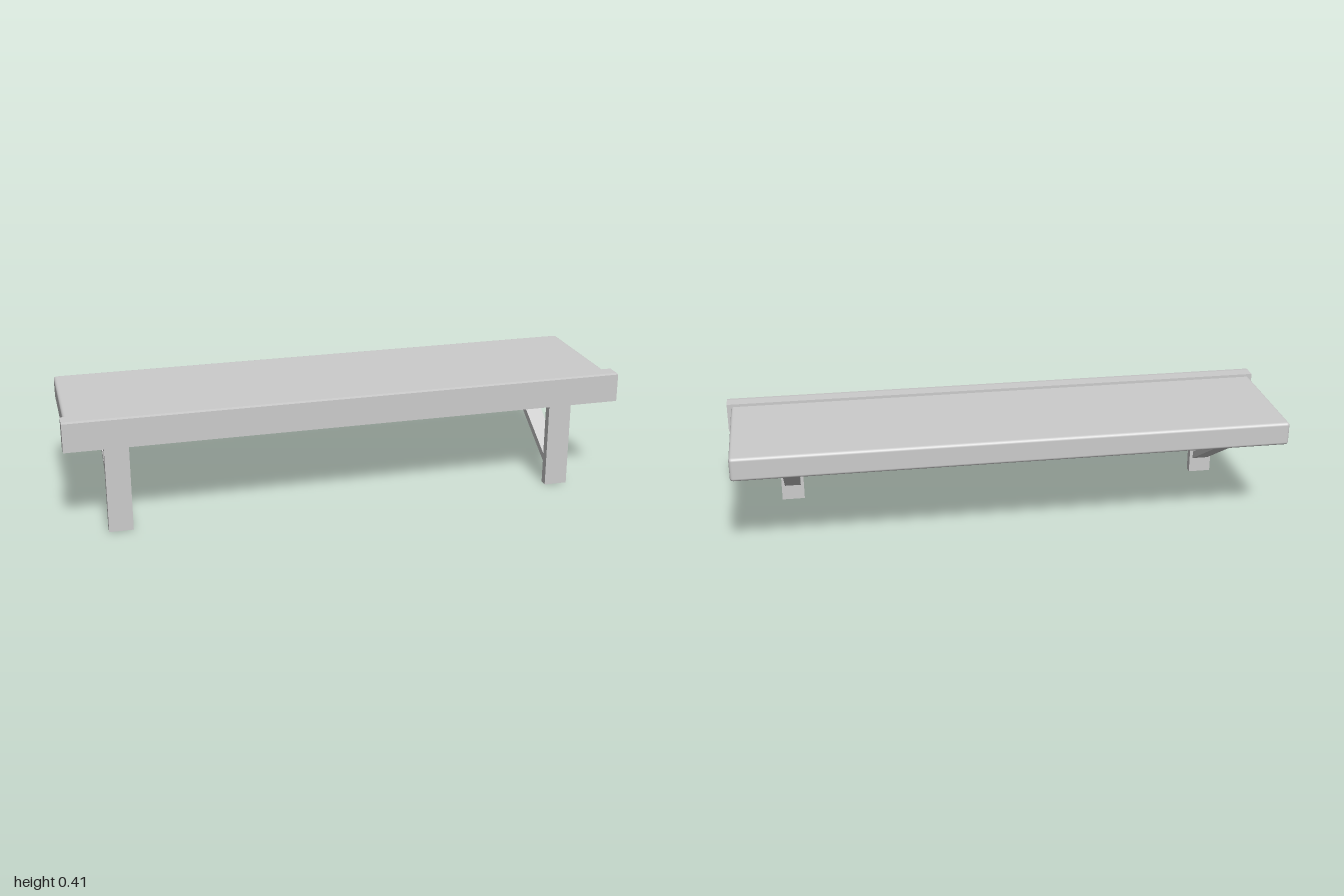
import * as THREE from 'three';
import { RoundedBoxGeometry } from 'three/addons/geometries/RoundedBoxGeometry.js';

const material = new THREE.MeshStandardMaterial({ color: 0xcccccc });

function part(name, geometry, x = 0, y = 0, z = 0) {
  const mesh = new THREE.Mesh(geometry, material);
  mesh.name = name;
  mesh.position.set(x, y, z);
  return mesh;
}

// Extrudes a [z, y] side profile along x, centred on x = 0
function sideProfile(points, width) {
  const shape = new THREE.Shape(points.map(([z, y]) => new THREE.Vector2(-z, y)));
  const geometry = new THREE.ExtrudeGeometry(shape, { depth: width, bevelEnabled: false });
  geometry.translate(0, 0, -width / 2);
  return geometry.rotateY(Math.PI / 2);
}

export function createModel() {
  const model = new THREE.Group();
  model.name = 'wallShelf';

  // Shelf board with softened edges, its front tucked into the rail
  const back = -0.266, front = 0.218;
  model.add(part('shelfBoard',
    new RoundedBoxGeometry(1.974, 0.085, front - back, 4, 0.011),
    -0.002, 0.3605, (front + back) / 2));

  // Front rail, very slightly taller at the back
  model.add(part('frontRail', sideProfile(
    [[0.267, 0.309], [0.267, 0.411], [0.252, 0.413], [0.202, 0.413], [0.202, 0.307]], 2)));

  // Two brackets: an upright leg and a diagonal brace up to the board
  for (const [side, x] of [['left', 0.782], ['right', -0.823]]) {
    const bracket = new THREE.Group();
    bracket.name = side + 'Bracket';
    bracket.position.x = x;
    bracket.add(part('leg', new THREE.BoxGeometry(0.084, 0.32, 0.029), 0, 0.16, 0.2445));
    bracket.add(part('brace', sideProfile(
      [[0.235, 0.054], [0.235, 0.083], [-0.17, 0.326], [-0.218, 0.326]], 0.06)));
    model.add(bracket);
  }
  return model;
}
